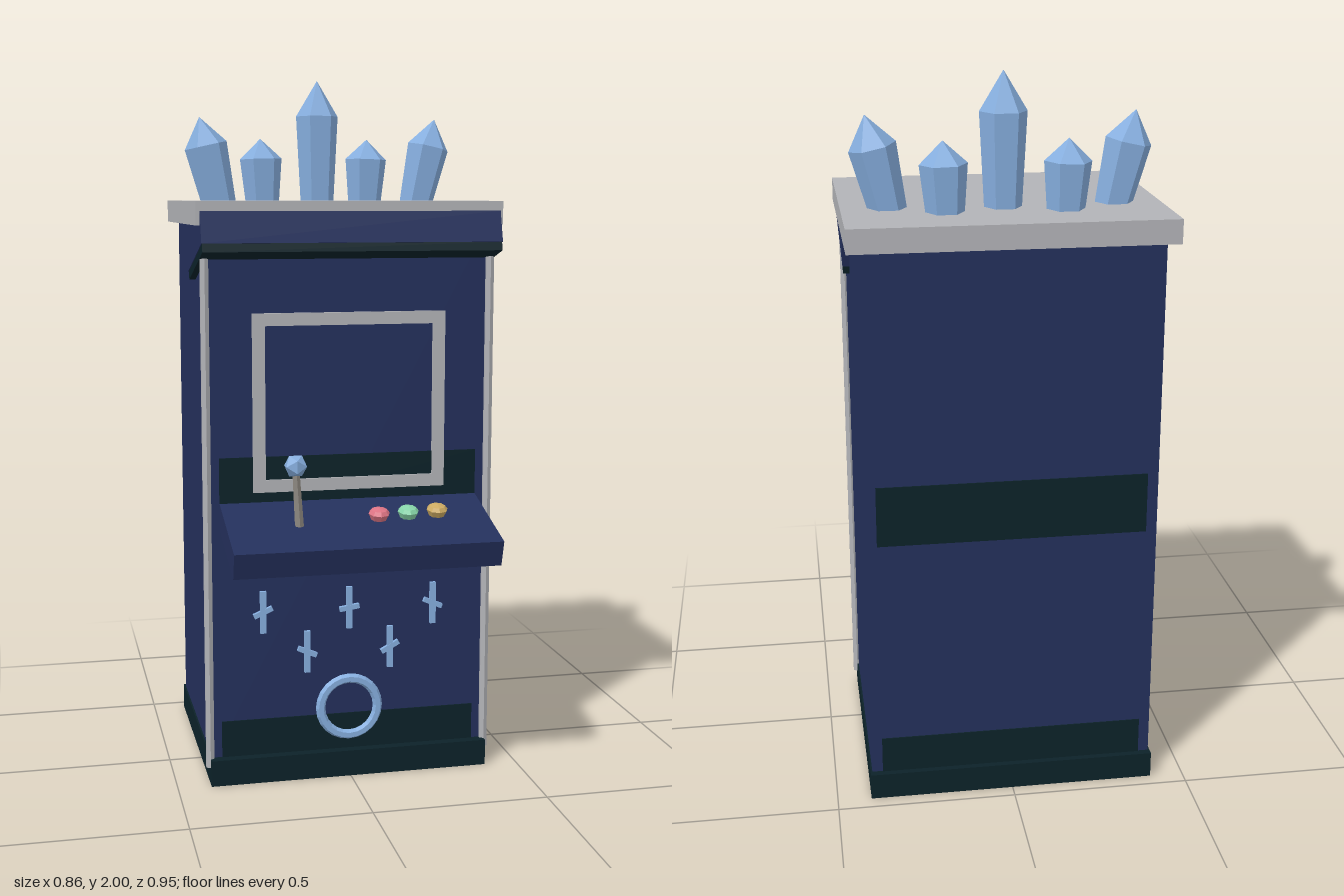
import * as THREE from 'three';

export function createModel() {
  const root = new THREE.Group();
  root.name = 'arcadeCabinet';

  const material = (name, color) => {
    const m = new THREE.MeshStandardMaterial({ color, flatShading: true });
    m.name = name;
    return m;
  };
  const navy = material('navy', 0x24305c);
  const dark = material('darkTeal', 0x0c2229);
  const grey = material('paleGrey', 0xb2b3b7);
  const crystalBlue = material('crystalBlue', 0x86aede);
  const metal = material('stickGrey', 0x9a948c);
  const red = material('red', 0xdc7484);
  const green = material('green', 0x86d4a8);
  const yellow = material('yellow', 0xccaa62);

  const add = (name, geometry, mat, x, y, z, parent = root) => {
    const mesh = new THREE.Mesh(geometry, mat);
    mesh.name = name;
    mesh.position.set(x, y, z);
    parent.add(mesh);
    return mesh;
  };
  const box = (name, w, h, d, mat, x, y, z, parent) =>
    add(name, new THREE.BoxGeometry(w, h, d), mat, x, y, z, parent);
  const lathe = (points, sides) =>
    new THREE.LatheGeometry(points.map(([r, y]) => new THREE.Vector2(r, y)), sides);

  // Cabinet shell
  box('body', 0.8, 1.52, 0.64, navy, 0, 0.825, -0.12);
  box('base', 0.81, 0.075, 0.69, dark, 0, 0.0375, -0.115);
  box('roof', 0.86, 0.065, 0.715, grey, 0, 1.6125, -0.1175);

  // Dark bands showing on the front and back faces
  for (const [y, h] of [[0.855, 0.17], [0.125, 0.11]]) {
    for (const z of [0.2, -0.44]) box('band', 0.74, h, 0.006, dark, 0, y, z);
  }

  // Corner posts
  for (const side of [-1, 1]) {
    add('cornerPost', new THREE.CylinderGeometry(0.013, 0.013, 1.53, 6), grey, side * 0.405, 0.815, 0.202);
  }

  // Tilted marquee with dark underside
  const marquee = new THREE.Group();
  marquee.name = 'marquee';
  marquee.position.set(0, 1.52, 0.11);
  marquee.rotation.x = -0.28;
  root.add(marquee);
  box('marqueeBox', 0.84, 0.088, 0.32, navy, 0, 0.012, 0, marquee);
  box('marqueeUnderside', 0.836, 0.024, 0.316, dark, 0, -0.044, 0, marquee);

  // Screen frame
  const frame = new THREE.Shape();
  frame.moveTo(-0.275, 0.84).lineTo(0.275, 0.84).lineTo(0.275, 1.34).lineTo(-0.275, 1.34).closePath();
  const opening = new THREE.Path();
  opening.moveTo(-0.24, 0.875).lineTo(-0.24, 1.305).lineTo(0.24, 1.305).lineTo(0.24, 0.875).closePath();
  frame.holes.push(opening);
  add('screenFrame', new THREE.ExtrudeGeometry(frame, { depth: 0.012, bevelEnabled: false }), grey, 0, 0, 0.198);

  // Sloping control panel
  const panel = box('controlPanel', 0.74, 0.075, 0.35, navy, 0, 0.745, 0.296);
  panel.rotation.x = 0.29;

  // Joystick
  const foot = new THREE.Vector3(-0.17, 0.77, 0.338);
  const knob = new THREE.Vector3(-0.187, 0.943, 0.375);
  const stick = add('joystickShaft', new THREE.CylinderGeometry(0.01, 0.013, foot.distanceTo(knob), 6), metal, 0, 0, 0);
  stick.position.copy(foot).lerp(knob, 0.5);
  stick.quaternion.setFromUnitVectors(new THREE.Vector3(0, 1, 0), knob.clone().sub(foot).normalize());
  add('joystickKnob', new THREE.IcosahedronGeometry(0.033, 0), crystalBlue, knob.x, knob.y, knob.z);

  // Gem buttons
  const gem = lathe([[0, -0.018], [0.022, -0.016], [0.03, 0.002], [0.022, 0.012], [0, 0.018]], 8);
  for (const [x, z, mat] of [[0.05, 0.352, red], [0.135, 0.342, green], [0.22, 0.334, yellow]]) {
    add('button', gem, mat, x, 0.797, z).rotation.x = 0.2;
  }

  // Small cross ornaments and ring on the lower front
  for (const [x, y, tilt] of [[-0.25, 0.495, 0.4], [0, 0.495, 0.15], [0.247, 0.495, -0.4],
    [-0.123, 0.372, -0.4], [0.12, 0.372, 0.5]]) {
    const ornament = new THREE.Group();
    ornament.name = 'crossOrnament';
    ornament.position.set(x, y, 0.205);
    root.add(ornament);
    box('upright', 0.017, 0.122, 0.012, crystalBlue, 0, 0, 0, ornament);
    box('arm', 0.058, 0.014, 0.012, crystalBlue, 0, 0, 0.001, ornament).rotation.z = tilt;
  }
  add('ring', new THREE.TorusGeometry(0.084, 0.014, 6, 24), crystalBlue, 0, 0.2, 0.204);

  // Crystals on the roof: x, z, widest height, tip height, lean
  const crystal = (x, z, shoulder, tip, lean) => {
    const geometry = lathe([[0, -0.02], [0.05, -0.02], [0.064, shoulder], [0, tip]], 6).rotateY(Math.PI / 6);
    add('crystal', geometry, crystalBlue, x, 1.645, z).rotation.z = lean;
  };
  crystal(0, -0.245, 0.25, 0.355, 0);
  for (const side of [-1, 1]) {
    crystal(side * 0.16, -0.295, 0.125, 0.185, side * -0.03);
    crystal(side * 0.305, -0.22, 0.165, 0.25, side * -0.22);
  }

  return root;
}
